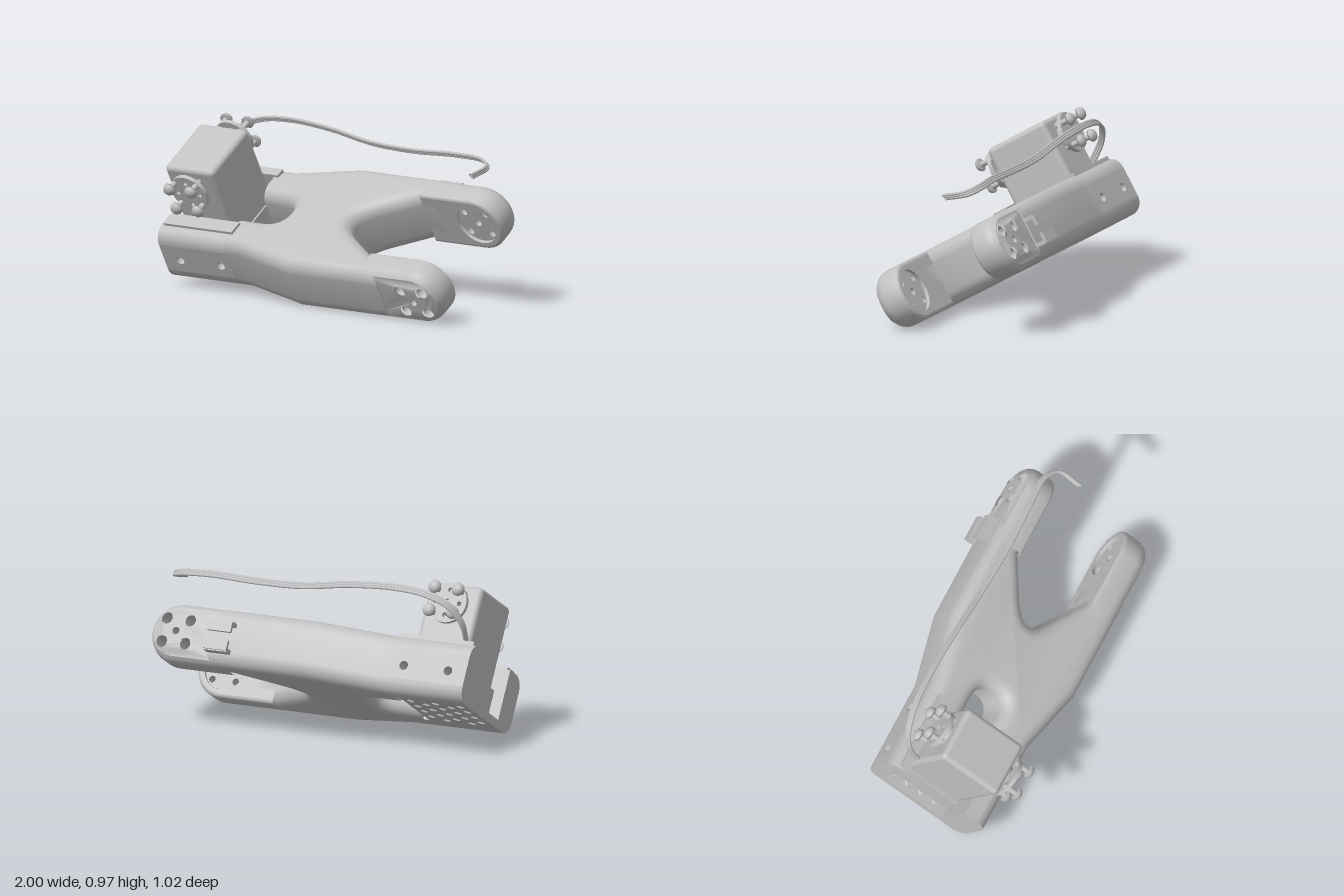
import * as THREE from 'three';
import { toCreasedNormals } from 'three/addons/utils/BufferGeometryUtils.js';
import { RoundedBoxGeometry } from 'three/addons/geometries/RoundedBoxGeometry.js';

const grey = new THREE.MeshStandardMaterial({ color: 0xc0c0c0, side: THREE.DoubleSide });
grey.name = 'plain grey';

const TOP = 0.466, BOTTOM = 0.115, MID = (TOP + BOTTOM) / 2, R = (TOP - BOTTOM) / 2;
const FILLET = 0.085, CENTRE = -0.1935, WIDE = 0.4515, NARROW = 0.3515, ARM_IN = 0.2615;

function add(parent, name, geometry, x = 0, y = 0, z = 0) {
  const mesh = new THREE.Mesh(geometry, grey);
  mesh.name = name;
  mesh.position.set(x, y, z);
  parent.add(mesh);
  return mesh;
}

function box(parent, name, x0, x1, y0, y1, z0, z1) {
  return add(parent, name, new THREE.BoxGeometry(x1 - x0, y1 - y0, z1 - z0),
    (x0 + x1) / 2, (y0 + y1) / 2, (z0 + z1) / 2);
}

// Surface through a list of equally long point rings
function loft(rings) {
  const n = rings[0].length, idx = [];
  for (let i = 0; i < rings.length - 1; i++) for (let j = 0; j < n - 1; j++) {
    const a = i * n + j, b = a + n;
    idx.push(a, a + 1, b, b, a + 1, b + 1);
  }
  const g = new THREE.BufferGeometry();
  g.setAttribute('position', new THREE.Float32BufferAttribute(rings.flat(2), 3));
  g.setIndex(idx);
  return toCreasedNormals(g, 0.6);
}

// Flat outline with round holes given as [x, y, radius]
function holed(points, holes) {
  const s = new THREE.Shape(points);
  for (const [x, y, r] of holes) s.holes.push(new THREE.Path().absarc(x, y, r, 0, Math.PI * 2, true));
  return s;
}

// Open hole wall running along z
function tube(parent, x, y, r, z0, z1) {
  const g = new THREE.CylinderGeometry(r, r, z1 - z0, 24, 1, true).rotateX(Math.PI / 2);
  add(parent, 'holeWall', g, x, y, (z0 + z1) / 2);
}

// Central slab with a slot on one end and a fork on the other
function centreBody() {
  const half = new THREE.Path();
  half.moveTo(-0.28, 0);
  half.quadraticCurveTo(-0.28, 0.1, -0.38, 0.1);
  for (const [x, z] of [[-0.75, 0.1], [-0.75, NARROW], [-0.44, NARROW], [-0.03, WIDE],
    [0.6, WIDE], [0.6, ARM_IN], [0.48, ARM_IN], [0.28, 0.13]]) half.lineTo(x, z);
  half.quadraticCurveTo(0.17, 0.06, 0.17, 0);
  const pts = half.getPoints(8);
  const mirror = pts.slice(1, -1).reverse().map(p => new THREE.Vector2(p.x, -p.y));
  const g = new THREE.ExtrudeGeometry(new THREE.Shape([...pts, ...mirror]), {
    depth: 2 * (R - FILLET), bevelThickness: FILLET, bevelSize: FILLET, bevelOffset: -FILLET, bevelSegments: 6,
  });
  g.rotateX(Math.PI / 2).translate(0, TOP - FILLET, 0);
  // Cut flat where the motor pocket begins
  const p = g.attributes.position;
  for (let i = 0; i < p.count; i++) p.setX(i, Math.max(p.getX(i), -0.53));
  return toCreasedNormals(g, 0.6);
}

// Fork tip: round end, soft outer edge, mounting holes and a recessed inner seat
function forkTip() {
  const tip = new THREE.Group(), cx = 1 - R, x0 = 0.48, small = 0.02;
  const outline = d => {
    const a = [new THREE.Vector2(x0, -(R - d))];
    for (let i = 0; i <= 24; i++) {
      const t = -Math.PI / 2 + Math.PI * i / 24;
      a.push(new THREE.Vector2(cx + (R - d) * Math.cos(t), (R - d) * Math.sin(t)));
    }
    a.push(new THREE.Vector2(x0, R - d));
    return a;
  };
  const drop = (d, r) => d >= r ? 0 : r - Math.sqrt(r * r - (r - d) ** 2);
  const ring = (d, z) => outline(d).map(p => [p.x, p.y, z]);
  const rings = [];
  for (const d of [0.02, 0.01, 0.004, 0]) rings.push(ring(d, ARM_IN + drop(d, small)));
  for (const d of [0, 0.002, 0.007, 0.015, 0.03]) rings.push(ring(d, WIDE - drop(d, FILLET)));
  add(tip, 'tipShell', loft(rings));

  const spots = [[-1, -1], [-1, 1], [1, -1], [1, 1]].map(([i, j]) => [cx + 0.075 * i, 0.07 * j]);
  const outer = new THREE.ShapeGeometry(
    holed(outline(0.03), [...spots.map(s => [...s, 0.035]), [cx, 0, 0.022]]), 20);
  const p = outer.attributes.position;
  for (let i = 0; i < p.count; i++) {
    const x = p.getX(i), y = p.getY(i);
    const d = R - (x > cx ? Math.hypot(x - cx, y) : Math.abs(y));
    p.setZ(i, WIDE - drop(d, FILLET));
  }
  outer.computeVertexNormals();
  add(tip, 'tipOuterFace', outer);

  const inner = new THREE.ShapeGeometry(holed(outline(0.02), [[cx, 0, 0.13]]), 20);
  add(tip, 'tipInnerFace', inner.rotateY(Math.PI).scale(-1, 1, 1), 0, 0, ARM_IN);
  const circle = new THREE.Path().absarc(cx, 0, 0.13, 0, Math.PI * 2).getPoints(32);
  const seat = holed(circle, [...spots.map(s => [...s, 0.02]), [cx, 0, 0.022]]);
  add(tip, 'hornSeat', new THREE.ShapeGeometry(seat, 16), 0, 0, ARM_IN + 0.02);
  tube(tip, cx, 0, 0.13, ARM_IN, ARM_IN + 0.02);
  for (const [x, y] of spots) tube(tip, x, y, 0.035, ARM_IN + 0.02, WIDE - 0.012);
  tube(tip, cx, 0, 0.022, ARM_IN + 0.02, WIDE);
  return tip;
}

// Side rail of the motor pocket, rounded outside, with two screw holes
function rail(thickness) {
  const g = new THREE.Group(), zi = NARROW - thickness, c = NARROW - FILLET, prof = [];
  for (let i = 0; i <= 6; i++) {
    const t = Math.PI / 12 * i;
    prof.push([c + FILLET * Math.cos(t), TOP - FILLET + FILLET * Math.sin(t)]);
  }
  prof.push([zi, TOP], [zi, BOTTOM]);
  for (let i = 6; i >= 0; i--) {
    const t = Math.PI / 12 * i;
    prof.push([c + FILLET * Math.cos(t), BOTTOM + FILLET - FILLET * Math.sin(t)]);
  }
  add(g, 'railShell', loft([-1, -0.53].map(x => prof.map(([z, y]) => [x, y, z]))));
  const end = new THREE.ShapeGeometry(new THREE.Shape(prof.map(([z, y]) => new THREE.Vector2(z, y))));
  add(g, 'railEnd', end.rotateY(-Math.PI / 2), -1);
  const face = [[-1, BOTTOM + FILLET], [-0.53, BOTTOM + FILLET], [-0.53, TOP - FILLET], [-1, TOP - FILLET]];
  const holes = [[-0.885, 0.28, 0.027], [-0.6, 0.28, 0.027]];
  add(g, 'railFace', new THREE.ShapeGeometry(holed(face.map(f => new THREE.Vector2(...f)), holes), 16), 0, 0, NARROW);
  for (const [x, y, r] of holes) tube(g, x, y, r, zi, NARROW);
  box(g, 'railLip', -0.98, -0.5, TOP - 0.01, TOP + 0.015, zi, zi + thickness * 0.55);
  return g;
}

// Pocket floor with a staggered grid of diamond holes
function pocketFloor() {
  const s = new THREE.Shape([[-1, -0.25], [-0.57, -0.25], [-0.57, 0.185], [-1, 0.185]].map(p => new THREE.Vector2(...p)));
  for (let i = 0; i < 5; i++) for (let j = 0; j < 4; j++) {
    const x = -0.94 + 0.08 * i, z = -0.2 + 0.1 * j + (i % 2) * 0.045, d = 0.027;
    s.holes.push(new THREE.Path([[x - d, z], [x, z + d], [x + d, z], [x, z - d]].map(p => new THREE.Vector2(...p))));
  }
  return new THREE.ExtrudeGeometry(s, { depth: 0.05, bevelEnabled: false })
    .rotateX(Math.PI / 2).translate(0, BOTTOM + 0.05, 0);
}

// Motor horn facing +z: boss, drilled disc and four long screws
function horn() {
  const g = new THREE.Group();
  const along = (r0, r1, h) => new THREE.CylinderGeometry(r1, r0, h, 24).rotateX(Math.PI / 2);
  add(g, 'hornBoss', along(0.07, 0.06, 0.05), 0, 0, 0.02);
  const rim = new THREE.Path().absarc(0, 0, 0.12, 0, Math.PI * 2).getPoints(32);
  const holes = [[0, 0, 0.022], [0.075, 0, 0.014], [-0.075, 0, 0.014], [0, 0.075, 0.014], [0, -0.075, 0.014]];
  add(g, 'hornDisc', toCreasedNormals(new THREE.ExtrudeGeometry(holed(rim, holes),
    { depth: 0.025, bevelEnabled: false, curveSegments: 12 }), 0.6), 0, 0, 0.035);
  const head = [[0, 0], [0.038, 0], [0.038, 0.012], [0.03, 0.026], [0.016, 0.034], [0, 0.036]];
  for (const i of [-1, 1]) for (const j of [-1, 1]) {
    add(g, 'screwShaft', along(0.017, 0.017, 0.1), 0.075 * i, 0.07 * j, 0.07);
    add(g, 'screwHead', new THREE.LatheGeometry(head.map(p => new THREE.Vector2(...p)), 20)
      .rotateX(Math.PI / 2), 0.075 * i, 0.07 * j, 0.11);
  }
  return g;
}

export function createModel() {
  const model = new THREE.Group();
  model.name = 'robotLegBracket';
  const tilted = new THREE.Group();
  tilted.name = 'tiltedAssembly';
  tilted.rotation.x = Math.PI / 6;
  model.add(tilted);

  const frame = new THREE.Group();
  frame.name = 'frame';
  frame.position.z = CENTRE;
  tilted.add(frame);
  add(frame, 'centreBody', centreBody());
  add(frame, 'pocketFloor', pocketFloor());
  for (const side of [1, -1]) {
    const tip = forkTip(), bar = rail(side > 0 ? 0.17 : 0.105);
    tip.name = side > 0 ? 'frontForkTip' : 'backForkTip';
    bar.name = side > 0 ? 'frontRail' : 'backRail';
    tip.position.y = MID;
    tip.scale.z = bar.scale.z = side;
    frame.add(tip, bar);
  }

  // Cable clip on the back arm: two facing hooks
  for (const [y, s] of [[0.36, -1], [0.2, 1]]) {
    box(tilted, 'clipStem', 0.45, 0.6, y - 0.012, y + 0.012, -0.7, -0.63);
    box(tilted, 'clipLip', 0.45, 0.6, y + s * 0.025 - 0.03, y + s * 0.025 + 0.03, -0.71, -0.69);
  }

  // Motor with a horn on each side
  const motor = new THREE.Group();
  motor.name = 'motor';
  tilted.add(motor);
  add(motor, 'motorCase', new RoundedBoxGeometry(0.34, 0.66, 0.41, 3, 0.03), -0.75, 0.495, -0.225);
  box(motor, 'motorBase', -0.94, -0.57, 0.165, 0.33, -0.42, -0.03);
  const front = horn(), back = horn();
  front.name = 'frontHorn';
  back.name = 'backHorn';
  front.position.set(-0.75, 0.695, -0.02);
  back.position.set(-0.75, 0.695, -0.43);
  back.scale.z = -1;
  motor.add(front, back);

  // Three-wire ribbon cable
  const path = [[-0.9, 0.64, -0.13], [-0.9, 0.76, -0.185], [-0.84, 0.86, -0.22], [-0.7, 0.925, -0.245],
    [-0.5, 0.945, -0.25], [-0.2, 0.925, -0.24], [0.1, 0.88, -0.225], [0.4, 0.87, -0.215],
    [0.7, 0.88, -0.22], [0.88, 0.87, -0.22], [0.955, 0.845, -0.17], [0.945, 0.81, -0.03]];
  for (const k of [-1, 0, 1]) {
    const curve = new THREE.CatmullRomCurve3(path.map(([x, y, z]) => new THREE.Vector3(x, y + k * 0.009, z + k * 0.01)));
    add(model, 'cableWire', new THREE.TubeGeometry(curve, 90, 0.009, 8));
  }
  return model;
}
